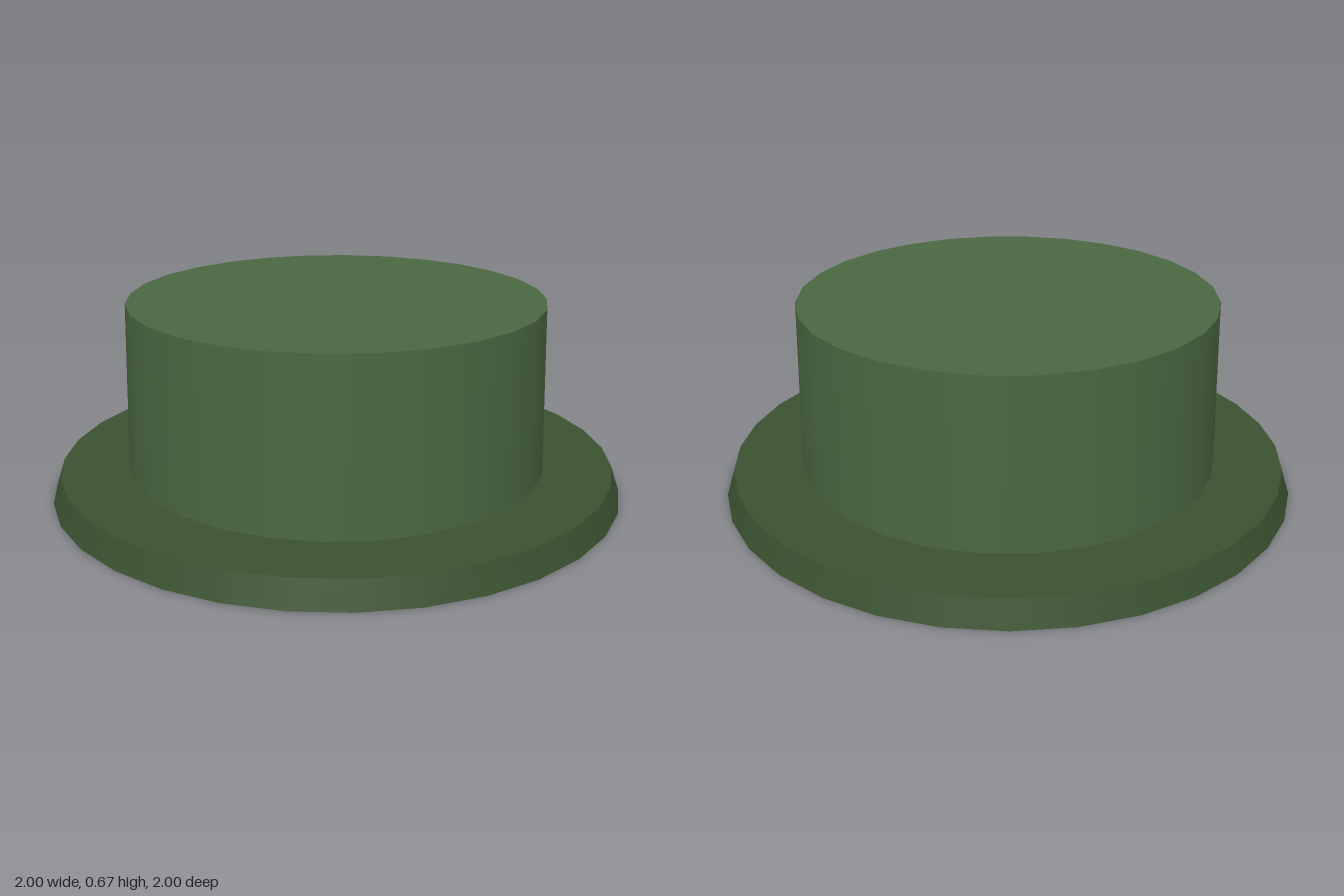
import * as THREE from 'three';

// Tapered disc standing on y = base
function taperedDisc(name, topRadius, bottomRadius, base, height, sides, color) {
  const geometry = new THREE.CylinderGeometry(topRadius, bottomRadius, height, sides);
  geometry.translate(0, base + height / 2, 0);
  const mesh = new THREE.Mesh(geometry, new THREE.MeshStandardMaterial({ color }));
  mesh.name = name;
  return mesh;
}

export function createModel() {
  const hat = new THREE.Group();
  hat.name = 'hat';
  // Wide, thin brim with a sloping rim
  hat.add(taperedDisc('brim', 0.97, 1, 0, 0.09, 32, 0x3a5230));
  // Flat-topped crown, narrowing slightly upwards
  hat.add(taperedDisc('crown', 0.72, 0.735, 0.09, 0.58, 28, 0x4a6741));
  return hat;
}
